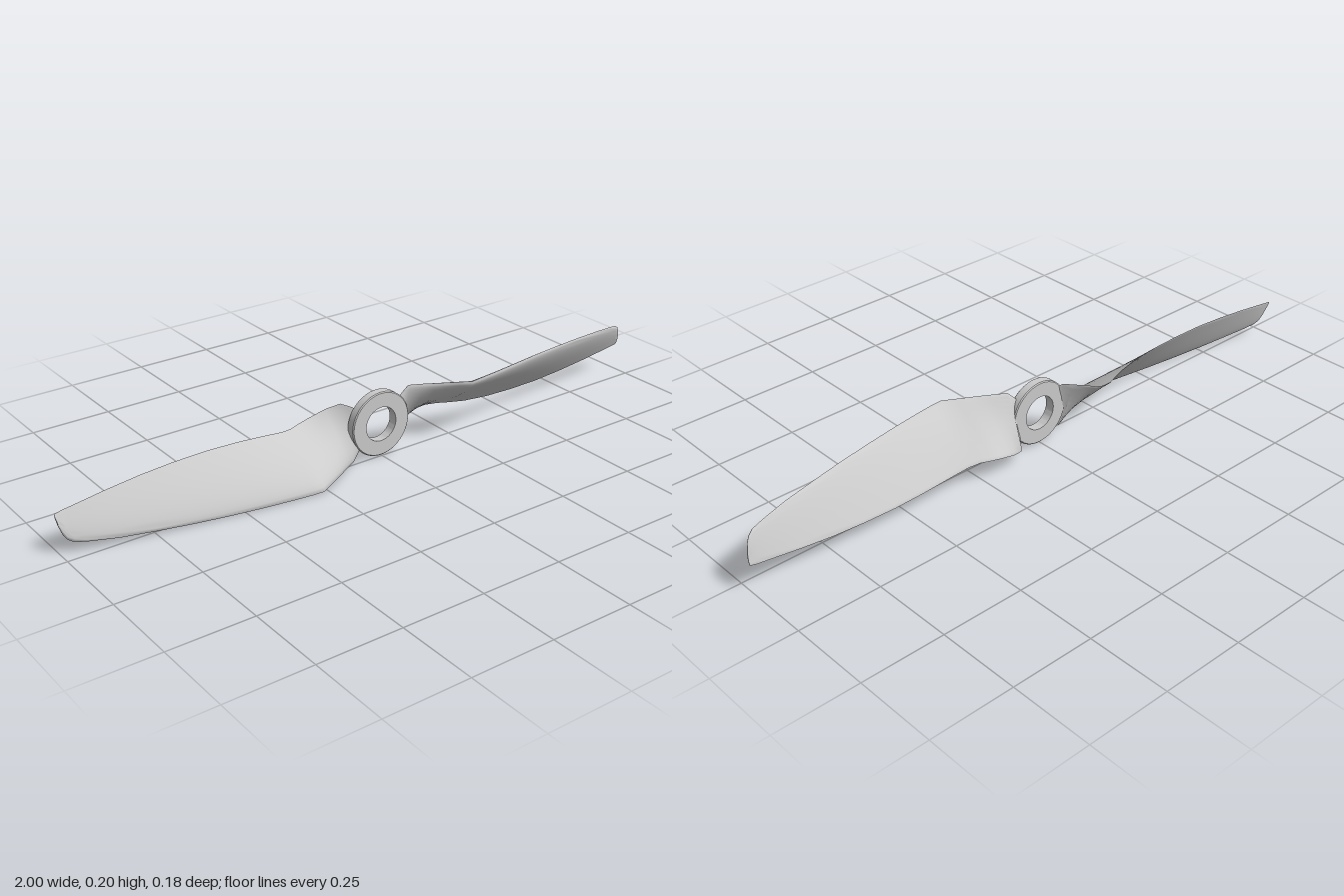
import * as THREE from 'three';
import { toCreasedNormals } from 'three/addons/utils/BufferGeometryUtils.js';

const material = new THREE.MeshStandardMaterial({ color: 0xcccccc });
const HUB_Y = 0.1;

// Blade stations: x, upper edge y z, lower edge y z, thickness
const stations = [
  [0.065, 0.160, -0.014, 0.045, -0.026, 0.010],
  [0.085, 0.180, -0.010, 0.034, -0.040, 0.016],
  [0.10, 0.196, -0.006, 0.031, -0.067, 0.020],
  [0.14, 0.197, 0.016, 0.043, -0.084, 0.022],
  [0.17, 0.197, 0.034, 0.055, -0.092, 0.022],
  [0.20, 0.197, 0.051, 0.063, -0.094, 0.022],
  [0.23, 0.197, 0.068, 0.067, -0.089, 0.022],
  [0.265, 0.197, 0.088, 0.068, -0.076, 0.022],
  [0.30, 0.198, 0.085, 0.064, -0.067, 0.022],
  [0.36, 0.198, 0.078, 0.055, -0.061, 0.021],
  [0.45, 0.198, 0.065, 0.047, -0.059, 0.020],
  [0.55, 0.197, 0.049, 0.044, -0.059, 0.018],
  [0.65, 0.194, 0.033, 0.046, -0.058, 0.016],
  [0.75, 0.189, 0.016, 0.053, -0.058, 0.014],
  [0.85, 0.182, -0.001, 0.064, -0.057, 0.012],
  [0.93, 0.173, -0.018, 0.075, -0.056, 0.010],
  [0.965, 0.167, -0.026, 0.080, -0.056, 0.009],
  [0.98, 0.157, -0.032, 0.082, -0.056, 0.008],
  [0.99, 0.141, -0.037, 0.084, -0.055, 0.007],
  [0.997, 0.118, -0.044, 0.085, -0.055, 0.005],
  [1.0, 0.100, -0.050, 0.086, -0.055, 0.003],
];

// Rounded upper edge, thin lower edge
const foil = (u) => 2.6 * Math.sqrt(u) * (1 - u) * (1 - 0.25 * u) + 0.06 * u;

// One closed airfoil loop: down the front face, back up the rear face
function section([x, uy, uz, ly, lz, t], steps) {
  const dy = ly - uy, dz = lz - uz, len = Math.hypot(dy, dz);
  const ny = dz / len, nz = -dy / len;
  const loop = [];
  for (let j = 0; j < 2 * steps; j++) {
    const front = j <= steps;
    const s = front ? j / steps : (2 * steps - j) / steps;
    const u = (1 - Math.cos(Math.PI * s)) / 2;
    const off = foil(u) * t * (front ? 0.75 : -0.25);
    loop.push([x, uy + dy * u + ny * off - HUB_Y, uz + dz * u + nz * off]);
  }
  return loop;
}

function bladeGeometry() {
  const steps = 14, n = 2 * steps, pos = [], index = [];
  stations.forEach((st) => section(st, steps).forEach((p) => pos.push(...p)));
  for (let i = 0; i < stations.length - 1; i++) {
    for (let j = 0; j < n; j++) {
      const a = i * n + j, b = i * n + (j + 1) % n;
      index.push(a, b, b + n, a, b + n, a + n);
    }
  }
  // End caps
  const last = (stations.length - 1) * n;
  for (let j = 1; j < n - 1; j++) {
    index.push(0, j + 1, j, last, last + j, last + j + 1);
  }
  const g = new THREE.BufferGeometry();
  g.setAttribute('position', new THREE.Float32BufferAttribute(pos, 3));
  g.setIndex(index);
  return toCreasedNormals(g, 0.8);
}

// Ring hub with small chamfers
function hubGeometry() {
  const r = 0.1, bore = 0.053, h = 0.015, c = 0.003;
  const profile = [
    [bore, -h], [r - c, -h], [r, -h + c], [r, h - c], [r - c, h], [bore, h], [bore, -h],
  ].map(([x, y]) => new THREE.Vector2(x, y));
  const g = new THREE.LatheGeometry(profile, 64);
  g.rotateX(Math.PI / 2);
  return toCreasedNormals(g, 0.5);
}

export function createModel() {
  const propeller = new THREE.Group();
  propeller.name = 'propeller';

  const hub = new THREE.Mesh(hubGeometry(), material);
  hub.name = 'hub';
  hub.position.set(0, HUB_Y, -0.018);
  propeller.add(hub);

  // Two blades, half a turn apart around the hub axis
  const blade = bladeGeometry();
  ['leftBlade', 'rightBlade'].forEach((name, i) => {
    const mesh = new THREE.Mesh(blade, material);
    mesh.name = name;
    mesh.position.y = HUB_Y;
    mesh.rotation.z = i * Math.PI;
    propeller.add(mesh);
  });
  return propeller;
}
